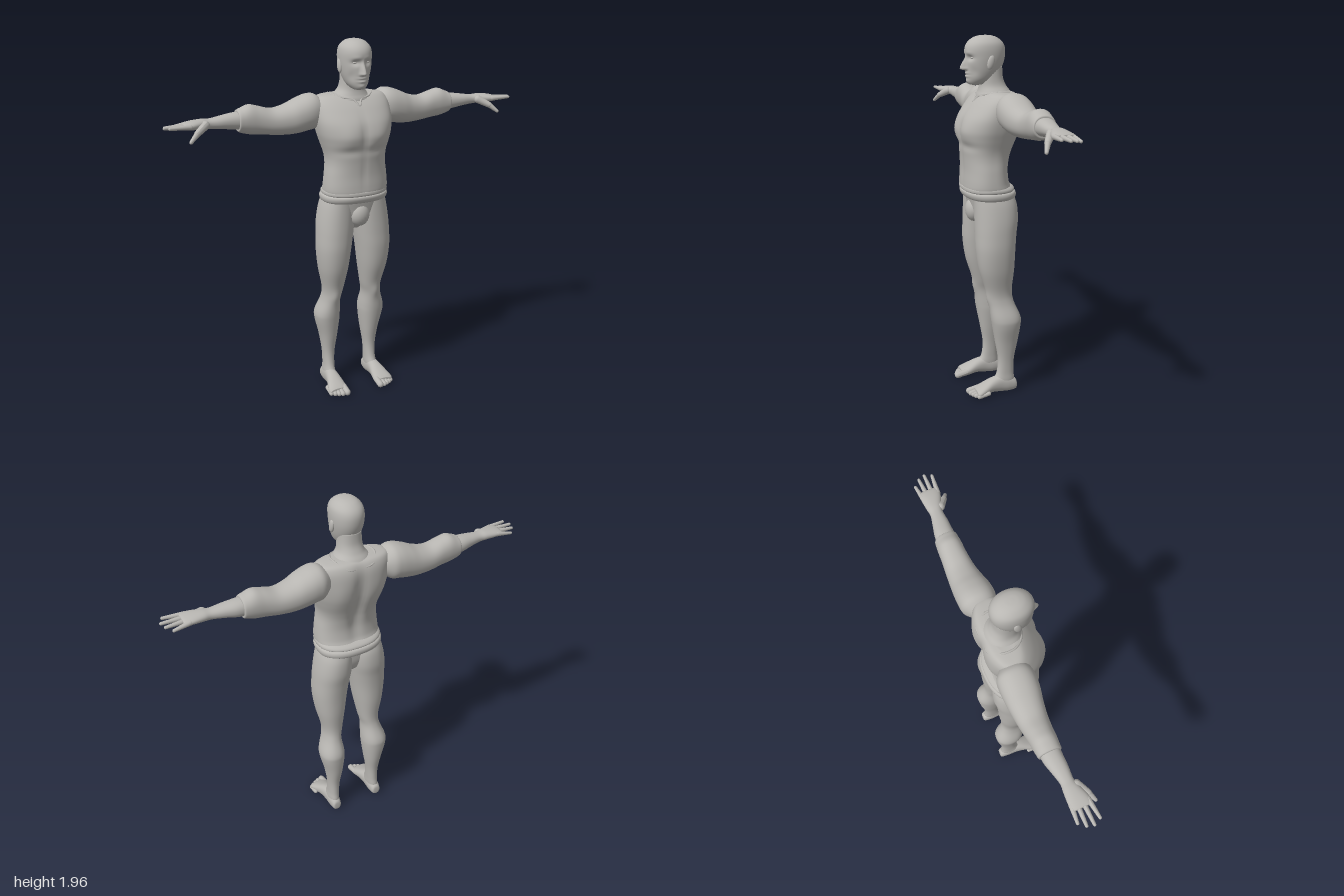
import * as THREE from 'three';

const skin = new THREE.MeshStandardMaterial({ color: 0xb8b6b2 });
skin.name = 'clay grey';

// Axis maps: along y (a=x, b=z), along x (a=z, b=y), along z (a=y, b=x)
const alongY = (t, a, b) => new THREE.Vector3(a, t, b);
const alongX = (t, a, b) => new THREE.Vector3(t, b, a);
const alongZ = (t, a, b) => new THREE.Vector3(b, a, t);

const bump = (d, w) => Math.exp(-(d * d) / (w * w));
const spow = (v, e) => Math.sign(v) * Math.pow(Math.abs(v), 2 / e);

// Smooth skin through rings [t, aLow, aHigh, bLow, bHigh], listed with t rising
function loft(rings, map, { n = 40, steps = 6, exp = 2.2, deform } = {}) {
  const cr = (p0, p1, p2, p3, s) => 0.5 * (2 * p1 + (p2 - p0) * s +
    (2 * p0 - 5 * p1 + 4 * p2 - p3) * s * s + (3 * p1 - p0 - 3 * p2 + p3) * s * s * s);
  const rows = [];
  const at = i => rings[Math.min(Math.max(i, 0), rings.length - 1)];
  for (let i = 0; i < rings.length - 1; i++)
    for (let k = 0; k < steps; k++)
      rows.push(at(i).map((_, c) => cr(at(i - 1)[c], at(i)[c], at(i + 1)[c], at(i + 2)[c], k / steps)));
  rows.push(at(rings.length - 1));

  const pos = [], idx = [];
  const put = v => { if (deform) deform(v); pos.push(v.x, v.y, v.z); };
  for (const [t, a0, a1, b0, b1] of rows)
    for (let i = 0; i < n; i++) {
      const u = i / n * Math.PI * 2;
      put(map(t, (a0 + a1) / 2 + (a1 - a0) / 2 * spow(Math.cos(u), exp),
        (b0 + b1) / 2 + (b1 - b0) / 2 * spow(Math.sin(u), exp)));
    }
  const last = (rows.length - 1) * n, c0 = rows.length * n;
  for (const [t, a0, a1, b0, b1] of [rows[0], rows[rows.length - 1]])
    put(map(t, (a0 + a1) / 2, (b0 + b1) / 2));
  for (let i = 0; i < n; i++) {
    const k = (i + 1) % n;
    for (let j = 0; j < last; j += n)
      idx.push(j + i, j + n + i, j + k, j + k, j + n + i, j + n + k);
    idx.push(c0, i, k, c0 + 1, last + k, last + i);
  }
  const g = new THREE.BufferGeometry();
  g.setAttribute('position', new THREE.Float32BufferAttribute(pos, 3));
  g.setIndex(idx);
  g.computeVertexNormals();
  return g;
}

function mirrored(geo) {
  const g = geo.clone().scale(-1, 1, 1);
  const ix = g.index.array;
  for (let i = 0; i < ix.length; i += 3) [ix[i], ix[i + 1]] = [ix[i + 1], ix[i]];
  g.computeVertexNormals();
  return g;
}

// Tapered capsule from p to q
function digit(p, q, r0, r1) {
  const a = new THREE.Vector3(...p), d = new THREE.Vector3(...q).sub(a), len = d.length();
  const g = new THREE.CapsuleGeometry(1, len, 6, 14, 6), v = g.attributes.position;
  for (let i = 0; i < v.count; i++) {
    const y = v.getY(i), s = THREE.MathUtils.clamp(y / len + 0.5, 0, 1), r = r0 + (r1 - r0) * s;
    const over = y - THREE.MathUtils.clamp(y, -len / 2, len / 2);
    v.setXYZ(i, v.getX(i) * r, s * len + over * r, v.getZ(i) * r);
  }
  g.computeVertexNormals();
  g.applyQuaternion(new THREE.Quaternion().setFromUnitVectors(new THREE.Vector3(0, 1, 0), d.normalize()));
  return g.translate(a.x, a.y, a.z);
}

const ball = (x, y, z, rx, ry, rz, tilt = 0) =>
  new THREE.SphereGeometry(1, 24, 16).scale(rx, ry, rz).rotateX(tilt).translate(x, y, z);

export function createModel() {
  const model = new THREE.Group();
  const add = (name, geo) => {
    const m = new THREE.Mesh(geo, skin);
    m.name = name;
    model.add(m);
  };
  const pair = (name, geo) => {
    add('left' + name, geo);
    add('right' + name, mirrored(geo));
  };
  const sym = rings => rings.map(([y, x, zb, zf]) => [y, -x, x, zb, zf]);

  // Head, with the face shaped by soft bumps
  const face = v => {
    if (v.z < 0.03) return;
    const ax = Math.abs(v.x), y = v.y;
    const nose = THREE.MathUtils.smoothstep(y, 1.776, 1.788) * (1 - THREE.MathUtils.smoothstep(y, 1.785, 1.865));
    v.z += 0.034 * nose * bump(ax, 0.007 + 0.006 * nose)
      + 0.007 * bump(ax - 0.012, 0.007) * bump(y - 1.787, 0.008)
      - 0.013 * bump(ax - 0.034, 0.021) * bump(y - 1.845, 0.014)
      + 0.003 * bump(ax - 0.032, 0.025) * bump(y - 1.869, 0.011)
      + 0.007 * bump(ax, 0.022) * (bump(y - 1.766, 0.006) + bump(y - 1.75, 0.007))
      - 0.004 * bump(ax, 0.026) * bump(y - 1.758, 0.003)
      + 0.006 * bump(ax, 0.022) * bump(y - 1.725, 0.013)
      - 0.006 * bump(ax - 0.052, 0.016) * bump(y - 1.775, 0.025);
  };
  add('head', loft(sym([
    [1.705, 0.024, 0.04, 0.086], [1.712, 0.036, 0.0, 0.102], [1.735, 0.055, -0.04, 0.11],
    [1.77, 0.069, -0.065, 0.113], [1.81, 0.078, -0.085, 0.115], [1.85, 0.083, -0.095, 0.116],
    [1.89, 0.083, -0.095, 0.118], [1.92, 0.075, -0.082, 0.105], [1.943, 0.054, -0.055, 0.078],
    [1.954, 0.03, -0.024, 0.048], [1.957, 0.006, 0.004, 0.018]]), alongY,
    { n: 96, steps: 8, exp: 2.1, deform: face }));
  pair('Eye', ball(0.034, 1.845, 0.085, 0.014, 0.008, 0.014));
  pair('Ear', ball(0.082, 1.823, 0.006, 0.011, 0.037, 0.019, -0.25));

  // Neck flaring into the shoulders
  add('neck', loft(sym([
    [1.6, 0.13, -0.13, 0.06], [1.645, 0.11, -0.134, 0.056], [1.672, 0.088, -0.12, 0.046],
    [1.7, 0.069, -0.1, 0.04], [1.74, 0.062, -0.084, 0.04], [1.8, 0.06, -0.08, 0.04]]), alongY));

  // Shirt body with chest, rib and spine relief
  const chest = v => {
    const ax = Math.abs(v.x), y = v.y;
    if (v.z > 0) v.z += 0.01 * bump(ax - 0.085, 0.06) * bump(y - 1.47, 0.06)
      - 0.008 * bump(ax, 0.02) * bump(y - 1.48, 0.09)
      - 0.007 * bump(ax - 0.08, 0.08) * bump(y - 1.395, 0.022)
      - 0.004 * bump(ax, 0.014) * bump(y - 1.28, 0.09);
    else v.z += 0.024 * bump(ax, 0.035) * bump(y - 1.42, 0.2)
      - 0.008 * bump(ax - 0.11, 0.05) * bump(y - 1.5, 0.09);
  };
  add('shirtBody', loft(sym([
    [1.14, 0.165, -0.112, 0.128], [1.165, 0.176, -0.115, 0.138], [1.2, 0.176, -0.102, 0.138],
    [1.26, 0.17, -0.096, 0.135], [1.32, 0.163, -0.104, 0.137], [1.37, 0.167, -0.118, 0.142],
    [1.43, 0.185, -0.138, 0.15], [1.48, 0.2, -0.15, 0.152], [1.54, 0.21, -0.157, 0.136],
    [1.6, 0.211, -0.157, 0.095], [1.64, 0.204, -0.148, 0.058], [1.665, 0.18, -0.13, 0.025],
    [1.674, 0.11, -0.1, 0.0]]), alongY, { n: 96, exp: 2.4, deform: chest }));

  // Collar edge dipping to a notch at the throat
  const collar = new THREE.CatmullRomCurve3([
    [0, 1.618, 0.075], [0.022, 1.648, 0.05], [0.075, 1.66, 0.026], [0.11, 1.671, -0.02],
    [0.11, 1.67, -0.085], [0.07, 1.645, -0.138], [0, 1.635, -0.136], [-0.07, 1.645, -0.138],
    [-0.11, 1.67, -0.085], [-0.11, 1.671, -0.02], [-0.075, 1.66, 0.026], [-0.022, 1.648, 0.05],
  ].map(p => new THREE.Vector3(...p)), true);
  add('collar', new THREE.TubeGeometry(collar, 96, 0.006, 8, true));

  // Rolled shirt hem and belt
  add('shirtHem', loft(sym([
    [1.146, 0.165, -0.12, 0.125], [1.152, 0.178, -0.134, 0.139], [1.163, 0.18, -0.132, 0.141],
    [1.173, 0.176, -0.12, 0.138], [1.182, 0.168, -0.1, 0.128]]), alongY, { n: 64, exp: 2.4 }));
  add('belt', loft(sym([
    [1.105, 0.165, -0.115, 0.1], [1.112, 0.178, -0.138, 0.126], [1.13, 0.184, -0.144, 0.137],
    [1.146, 0.18, -0.138, 0.136], [1.152, 0.165, -0.12, 0.12]]), alongY, { n: 64, exp: 2.4 }));

  // Pelvis and legs
  add('pelvis', loft(sym([
    [0.95, 0.02, -0.04, 0.045], [0.98, 0.06, -0.075, 0.075], [1.03, 0.13, -0.095, 0.094],
    [1.08, 0.175, -0.1, 0.102], [1.14, 0.168, -0.1, 0.112]]), alongY));
  add('crotch', ball(0, 1.035, 0.075, 0.056, 0.065, 0.046));
  const knee = v => {
    if (v.z > -0.03) v.z += 0.008 * bump(v.x - 0.122, 0.025) * bump(v.y - 0.555, 0.04);
  };
  pair('Leg', loft([
    [0.02, 0.106, 0.158, -0.11, 0.02], [0.07, 0.101, 0.163, -0.115, 0.008], [0.12, 0.1, 0.16, -0.11, -0.014],
    [0.2, 0.095, 0.163, -0.113, -0.02], [0.3, 0.08, 0.178, -0.132, -0.004], [0.4, 0.068, 0.202, -0.145, 0.014],
    [0.45, 0.068, 0.202, -0.143, 0.022], [0.53, 0.074, 0.176, -0.11, 0.031], [0.6, 0.06, 0.172, -0.1, 0.045],
    [0.72, 0.04, 0.197, -0.11, 0.082], [0.83, 0.025, 0.209, -0.115, 0.098], [0.92, 0.012, 0.207, -0.123, 0.1],
    [1.0, 0.002, 0.2, -0.134, 0.1], [1.08, 0.002, 0.185, -0.13, 0.1], [1.14, 0.015, 0.165, -0.11, 0.1],
  ], alongY, { deform: knee }));

  // Feet and toes
  pair('Foot', loft([
    [-0.127, 0.025, 0.045, 0.122, 0.145], [-0.12, 0.006, 0.07, 0.108, 0.158], [-0.08, 0.0, 0.092, 0.1, 0.165],
    [-0.03, 0.004, 0.1, 0.1, 0.168], [0.02, 0.009, 0.088, 0.096, 0.176], [0.07, 0.003, 0.064, 0.089, 0.191],
    [0.1, 0.0, 0.048, 0.088, 0.197], [0.115, 0.004, 0.038, 0.094, 0.19]], alongZ, { exp: 2.2 }));
  [[0.104, 0.141, 0.0175], [0.13, 0.139, 0.014], [0.15, 0.131, 0.013], [0.169, 0.121, 0.0125], [0.187, 0.108, 0.012]]
    .forEach(([x, z, r], i) => pair('Toe' + (i + 1), digit([x, r + 0.012, z - 0.055], [x, r, z], r, r)));

  // Sleeves and arms
  pair('Sleeve', loft([
    [0.15, -0.12, 0.0, 1.54, 1.64], [0.195, -0.155, 0.02, 1.5, 1.676], [0.24, -0.162, 0.028, 1.49, 1.678],
    [0.3, -0.16, 0.024, 1.48, 1.658], [0.36, -0.155, 0.012, 1.477, 1.632], [0.43, -0.148, 0.0, 1.482, 1.619],
    [0.5, -0.141, -0.008, 1.491, 1.637], [0.55, -0.138, -0.01, 1.496, 1.648], [0.59, -0.134, -0.012, 1.506, 1.634],
    [0.611, -0.13, -0.014, 1.515, 1.625], [0.614, -0.12, -0.022, 1.525, 1.615]], alongX));
  pair('Forearm', loft([
    [0.58, -0.122, -0.02, 1.524, 1.617], [0.64, -0.12, -0.021, 1.53, 1.614], [0.7, -0.106, -0.022, 1.54, 1.606],
    [0.76, -0.093, -0.026, 1.547, 1.598], [0.8, -0.097, -0.016, 1.55, 1.6], [0.85, -0.101, 0.001, 1.552, 1.597],
    [0.885, -0.101, 0.006, 1.556, 1.591], [0.9, -0.094, 0.0, 1.562, 1.585]], alongX));

  // Fingers and thumbs
  [[-0.089, -0.097, 0.953, 1.562], [-0.062, -0.066, 0.981, 1.57], [-0.034, -0.032, 0.991, 1.574], [-0.007, 0.004, 0.973, 1.577]]
    .forEach(([z0, z1, x, y], i) => pair('Finger' + (i + 1), digit([0.87, 1.574, z0], [x, y, z1], 0.0135, 0.008)));
  pair('ThumbBase', digit([0.79, 1.573, -0.025], [0.842, 1.543, 0.012], 0.022, 0.016));
  pair('Thumb', digit([0.842, 1.543, 0.012], [0.882, 1.508, 0.034], 0.015, 0.009));

  return model;
}
